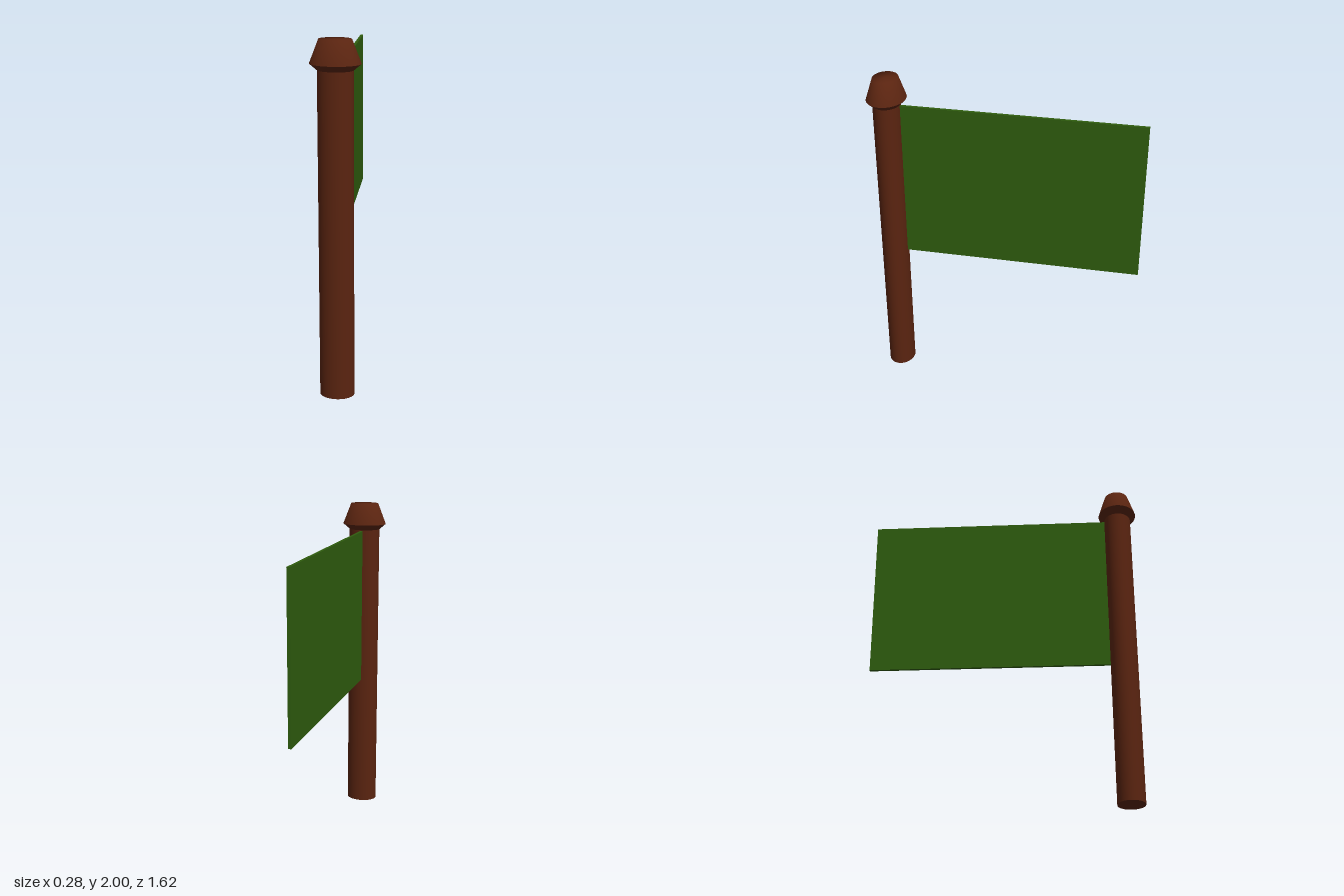
import * as THREE from 'three';

export function createModel() {
  const model = new THREE.Group();
  const wood = new THREE.MeshStandardMaterial({ color: 0x5a2410 });
  wood.name = 'brown wood';
  const cloth = new THREE.MeshStandardMaterial({ color: 0x2f5d0e });
  cloth.name = 'green cloth';

  const poleZ = 0.697;
  const flatten = 0.83; // the pole is slightly oval

  const add = (name, geometry, material, parent) => {
    const mesh = new THREE.Mesh(geometry, material);
    mesh.name = name;
    parent.add(mesh);
    return mesh;
  };
  const lathe = (points) =>
    new THREE.LatheGeometry(points.map(([r, y]) => new THREE.Vector2(r, y)), 48);

  // Upright post with its finial
  const post = new THREE.Group();
  post.name = 'post';
  post.position.z = poleZ;
  post.scale.z = flatten;
  model.add(post);

  const shaft = add('shaft', new THREE.CylinderGeometry(0.097, 0.097, 1.84, 48), wood, post);
  shaft.position.y = 0.92;
  add('finialUnderside', lathe([[0.09, 1.832], [0.138, 1.872]]), wood, post);
  add('finialTop', lathe([[0.138, 1.872], [0.088, 2], [0, 2]]), wood, post);

  // Stiff flag, turned slightly about the post
  const flagPivot = new THREE.Group();
  flagPivot.name = 'flag';
  flagPivot.position.z = poleZ;
  flagPivot.rotation.y = 0.0845;
  model.add(flagPivot);

  const length = 1.515;
  const panel = add('flagPanel', new THREE.BoxGeometry(0.018, 0.98, length), cloth, flagPivot);
  panel.position.set(0, 1.342, -length / 2);

  return model;
}
